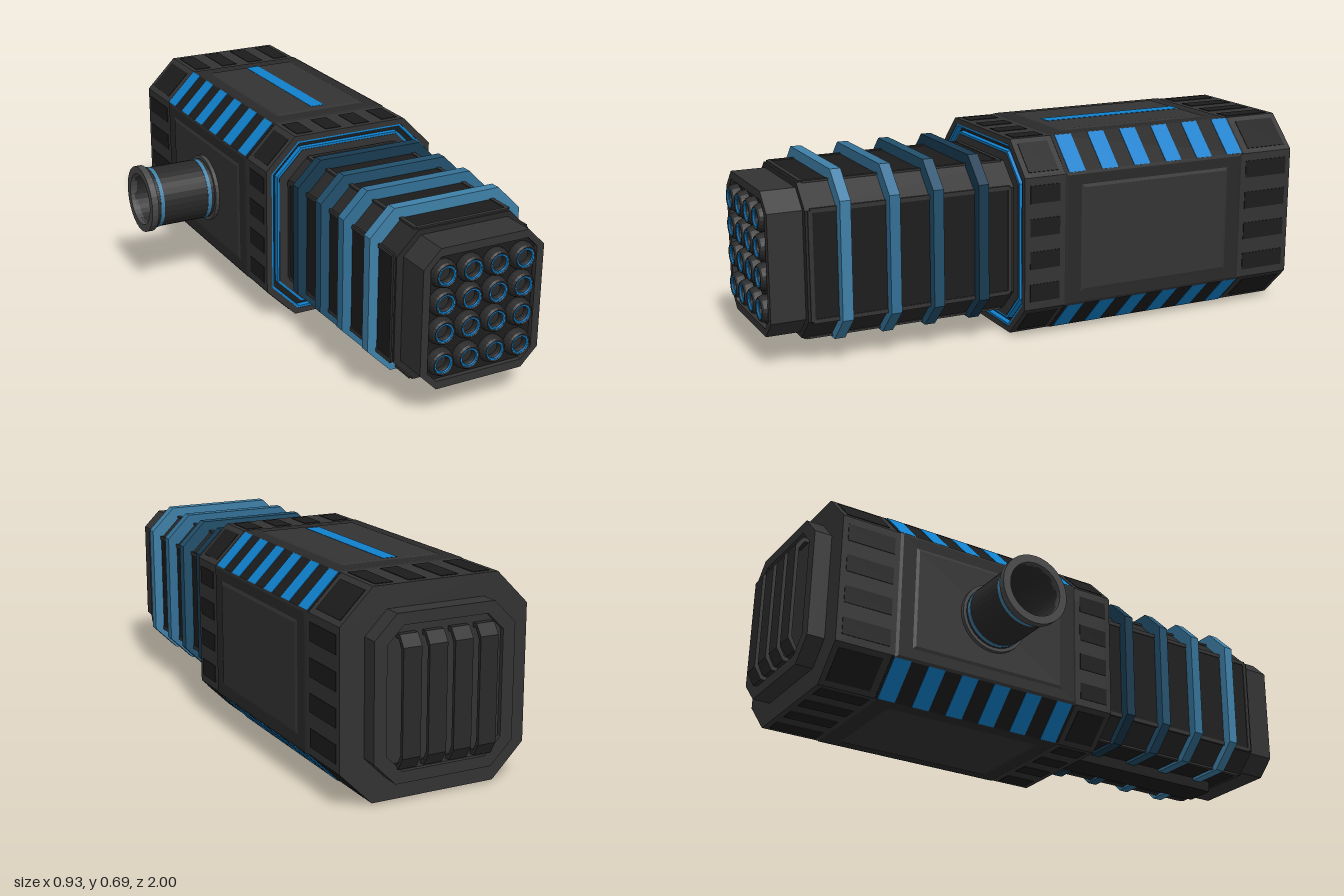
import * as THREE from 'three';

const DARK = 0x333333, PANEL = 0x292929, BLACK = 0x1c1c1c, BLUE = 0x1080cc;
const CX = 0.132, CY = 0.345;

const mats = {};
const mat = (color) => mats[color] ??= new THREE.MeshStandardMaterial({ color, flatShading: true, side: THREE.DoubleSide });

function add(parent, name, geometry, color) {
  const mesh = new THREE.Mesh(geometry, mat(color));
  mesh.name = name;
  parent.add(mesh);
  return mesh;
}

// Octagon outline: a rectangle with cut corners
function octagon(w, h, c) {
  const x = w / 2, y = h / 2;
  return [[x, y - c], [x - c, y], [c - x, y], [-x, y - c], [-x, c - y], [c - x, -y], [x - c, -y], [x, c - y]]
    .map(([a, b]) => new THREE.Vector2(a, b));
}

// Octagonal prism along z, with an optional octagonal hole [w, h, c]
function prism(parent, name, [w, h, c], z0, z1, color, hole, cy = CY) {
  const shape = new THREE.Shape(octagon(w, h, c));
  if (hole) shape.holes.push(new THREE.Path(octagon(...hole)));
  const g = new THREE.ExtrudeGeometry(shape, { depth: z1 - z0, bevelEnabled: false });
  return add(parent, name, g.translate(CX, cy, z0), color);
}

function box(parent, name, x0, x1, y0, y1, z0, z1, color) {
  const g = new THREE.BoxGeometry(x1 - x0, y1 - y0, z1 - z0);
  return add(parent, name, g.translate((x0 + x1) / 2, (y0 + y1) / 2, (z0 + z1) / 2), color);
}

// Group whose local +y points out of a face at the given angle about z
function faceGroup(parent, name, x, y, angle) {
  const g = new THREE.Group();
  g.name = name;
  g.position.set(CX + x, CY + y, 0);
  g.rotation.z = angle;
  parent.add(g);
  return g;
}

// Low tapered plate on a face
function plate(parent, name, hw, z0, z1, height, inset, color) {
  const g = new THREE.BoxGeometry(hw * 2, height, z1 - z0);
  const p = g.attributes.position;
  for (let i = 0; i < p.count; i++) if (p.getY(i) > 0) {
    p.setX(i, p.getX(i) - Math.sign(p.getX(i)) * inset);
    p.setZ(i, p.getZ(i) - Math.sign(p.getZ(i)) * inset);
  }
  return add(parent, name, g.translate(0, height / 2, (z0 + z1) / 2), color);
}

// Thin raised frame on a face
function frame(parent, name, hw, z0, z1, t, color) {
  for (const s of [-1, 1]) {
    box(parent, name, s * hw - t / 2, s * hw + t / 2, -0.002, 0.005, z0, z1, color);
    const z = s < 0 ? z0 : z1;
    box(parent, name, -hw, hw, -0.002, 0.005, z - t / 2, z + t / 2, color);
  }
}

function buildBody(root) {
  const W = 0.65, H = 0.67, C = 0.11;
  prism(root, 'body', [W, H, C], -0.91, 0.125, DARK);
  // Front rim with two lit seams around a dark trench
  prism(root, 'frontRim', [W, H, C], 0.125, 0.15, DARK, [0.61, 0.63, 0.102]);
  prism(root, 'outerSeam', [0.61, 0.63, 0.102], 0.125, 0.148, BLUE, [0.595, 0.615, 0.099]);
  prism(root, 'trench', [0.595, 0.615, 0.099], 0.125, 0.128, BLACK);
  prism(root, 'innerSeam', [0.565, 0.58, 0.092], 0.125, 0.148, BLUE, [0.55, 0.565, 0.089]);
  prism(root, 'collar', [0.55, 0.565, 0.089], 0.125, 0.15, DARK);

  // Four flat sides
  for (let k = 0; k < 4; k++) {
    const a = k * Math.PI / 2, side = k % 2 === 1;
    const half = (side ? W : H) / 2, hw = (side ? H : W) / 2 - C;
    const f = faceGroup(root, 'bodySide', -Math.sin(a) * half, Math.cos(a) * half, a);
    plate(f, 'sidePanel', hw + 0.005, -0.70, 0, 0.004, 0.01, PANEL);
    plate(f, 'sidePanelCentre', hw - 0.03, -0.65, -0.05, 0.008, 0.02, DARK);
    for (const [z0, z1] of [[0.02, 0.13], [-0.89, -0.72]])
      for (let i = 0; i < 4; i++) {
        const x = (i - 1.5) * 0.112;
        box(f, 'ventSlot', x - 0.03, x + 0.03, -0.002, 0.002, z0, z1, BLACK);
      }
    if (k === 0) box(f, 'topLight', -0.025, 0.025, 0, 0.009, -0.63, -0.09, BLUE);
  }

  // Four cut corners with lit stripes
  for (const sx of [-1, 1]) for (const sy of [-1, 1]) {
    const a = Math.atan2(-sx, sy);
    const f = faceGroup(root, 'bodyCorner', sx * (W - C) / 2, sy * (H - C) / 2, a);
    box(f, 'cornerStrip', -0.076, 0.076, -0.002, 0.001, -0.71, 0, BLACK);
    for (let i = 0; i < 6; i++) {
      const z = -0.67 + i * 0.125;
      box(f, 'cornerLight', -0.076, 0.076, -0.002, 0.003, z - 0.031, z + 0.031, BLUE);
    }
    for (const [z0, z1] of [[0.02, 0.13], [-0.89, -0.735]])
      box(f, 'cornerInset', -0.058, 0.058, -0.002, 0.002, z0, z1, BLACK);
  }
}

function buildBarrel(root) {
  const W = 0.485, H = 0.51, C = 0.075;
  prism(root, 'barrel', [W, H, C], 0.12, 0.87, PANEL);
  for (let k = 0; k < 4; k++) {
    const a = k * Math.PI / 2, side = k % 2 === 1;
    const half = (side ? W : H) / 2, hw = (side ? H : W) / 2 - C;
    const f = faceGroup(root, 'barrelSide', -Math.sin(a) * half, Math.cos(a) * half, a);
    box(f, 'barrelPanel', -hw, hw, -0.002, 0.002, 0.17, 0.85, BLACK);
    frame(f, 'barrelFrame', hw, 0.165, 0.855, 0.014, DARK);
  }
  // Coils, darker towards the body
  [[0.75, 0x3f80a8], [0.585, 0x337096], [0.435, 0x22506c], [0.275, 0x183a50]].forEach(([z, color]) =>
    prism(root, 'coil', [0.555, 0.56, 0.085], z - 0.018, z + 0.018, color, [0.46, 0.46, 0.06], 0.358));
  box(root, 'underRail', 0.077, 0.187, 0.047, 0.1, 0.2, 0.81, BLACK);
}

function buildMuzzle(root) {
  const hole = [0.385, 0.42, 0.035];
  prism(root, 'muzzle', [0.437, 0.475, 0.06], 0.87, 0.985, DARK, hole);
  prism(root, 'muzzleFace', hole, 0.87, 0.968, BLACK);
  const tube = new THREE.LatheGeometry(
    [[0.046, 0.95], [0.046, 0.978], [0.041, 0.994], [0.036, 1], [0.032, 0.998], [0.025, 0.985], [0.025, 0.972], [0, 0.972]]
      .map(([r, z]) => new THREE.Vector2(r, z)), 20).rotateX(Math.PI / 2);
  const glow = new THREE.TorusGeometry(0.029, 0.0045, 6, 24).translate(0, 0, 0.9945);
  for (const y of [0.495, 0.4, 0.303, 0.197]) for (let i = 0; i < 4; i++) {
    const x = -0.011 + i * 0.095;
    add(root, 'launchTube', tube, PANEL).position.set(x, y, 0);
    add(root, 'launchTubeRing', glow, BLUE).position.set(x, y, 0);
  }
}

function buildBack(root) {
  prism(root, 'backCap', [0.485, 0.525, 0.075], -0.955, -0.9, DARK);
  prism(root, 'backCapRim', [0.485, 0.525, 0.075], -0.97, -0.955, DARK, [0.40, 0.45, 0.055]);
  // Four bent vertical straps
  const strap = new THREE.Shape([[0.95, 0.13], [0.975, 0.13], [1, 0.17], [1, 0.51], [0.975, 0.545], [0.95, 0.545],
    [0.95, 0.53], [0.97, 0.53], [0.988, 0.5], [0.988, 0.18], [0.97, 0.145], [0.95, 0.145]]
    .map(([a, b]) => new THREE.Vector2(a, b)));
  const g = new THREE.ExtrudeGeometry(strap, { depth: 0.062, bevelEnabled: false }).rotateY(Math.PI / 2);
  for (let i = 0; i < 4; i++) add(root, 'backStrap', g, PANEL).position.x = -0.031 + CX + (i - 1.5) * 0.088;
}

function buildSidePort(root) {
  const port = new THREE.Group();
  port.name = 'sidePort';
  port.position.set(0, CY, -0.345);
  root.add(port);
  const ring = (name, pts, color) => add(port, name,
    new THREE.LatheGeometry(pts.map(([r, x]) => new THREE.Vector2(r, x)), 32).rotateZ(Math.PI / 2), color);
  const band = (name, r0, r1, x0, x1, color) => ring(name, [[r0, x0], [r1, x0], [r1, x1], [r0, x1], [r0, x0]], color);
  band('portTube', 0.095, 0.11, 0.18, 0.45, PANEL);
  band('portOuterFlange', 0.095, 0.122, 0.44, 0.465, 0x484848);
  band('portInnerFlange', 0.1, 0.122, 0.19, 0.215, 0x484848);
  band('portBand', 0.1, 0.1115, 0.412, 0.426, 0x3f80a8);
  band('portBand', 0.1, 0.1115, 0.227, 0.241, 0x3f80a8);
}

export function createModel() {
  const root = new THREE.Group();
  root.name = 'launcher';
  buildBody(root);
  buildBarrel(root);
  buildMuzzle(root);
  buildBack(root);
  buildSidePort(root);
  return root;
}
